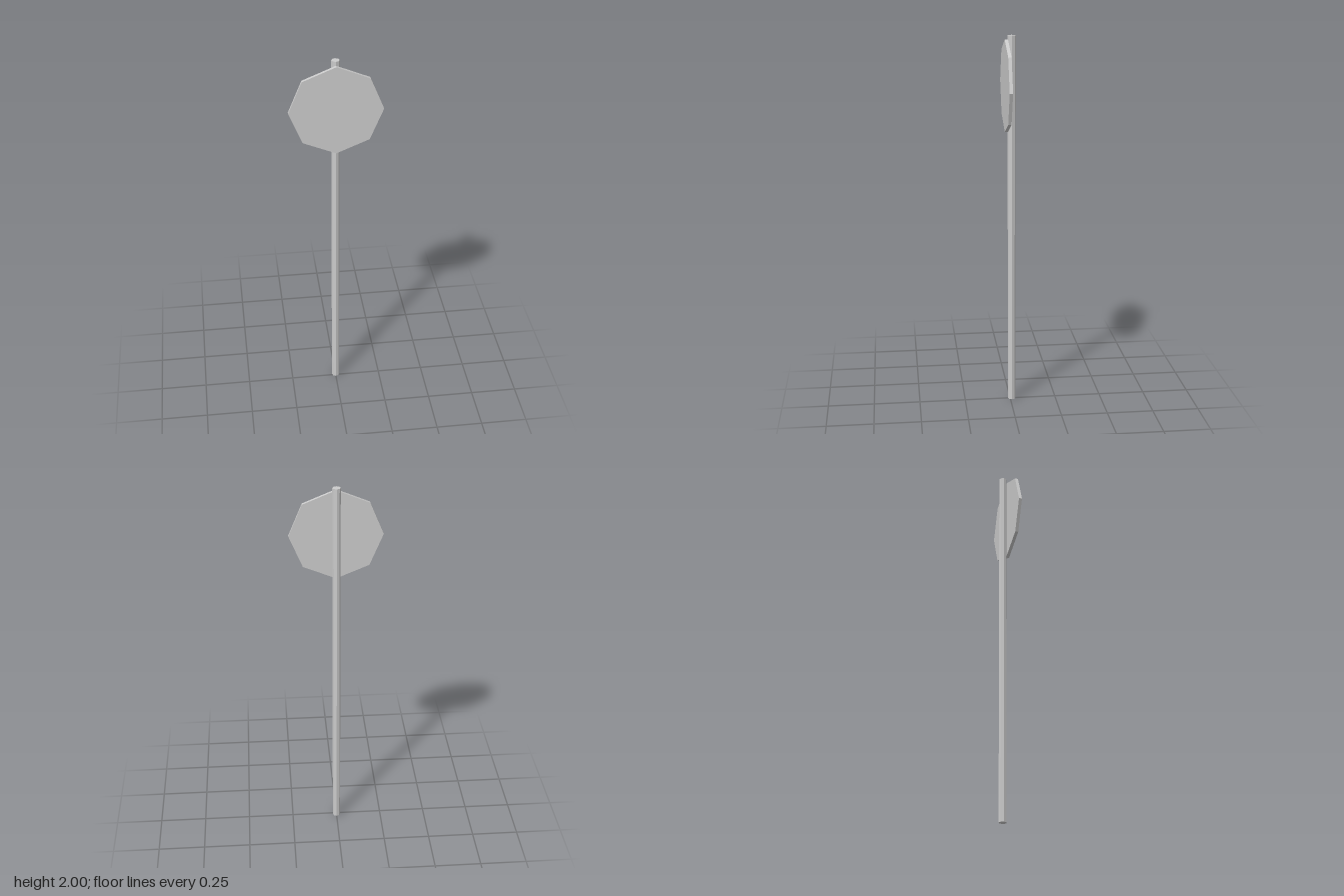
import * as THREE from 'three';

export function createModel() {
  const group = new THREE.Group();
  const material = new THREE.MeshStandardMaterial({ color: 0xcccccc, flatShading: true });

  // Both parts are eight-sided prisms with corners on the axes
  const addPrism = (name, radius, length, y, z) => {
    const mesh = new THREE.Mesh(new THREE.CylinderGeometry(radius, radius, length, 8), material);
    mesh.name = name;
    mesh.position.set(0, y, z);
    group.add(mesh);
    return mesh;
  };

  // Upright post
  addPrism('post', 0.021, 2, 1, -0.008);

  // Octagonal sign plate on the front of the post
  const plate = addPrism('signPlate', 0.239, 0.017, 1.74, 0.0195);
  plate.rotation.x = Math.PI / 2;

  return group;
}
